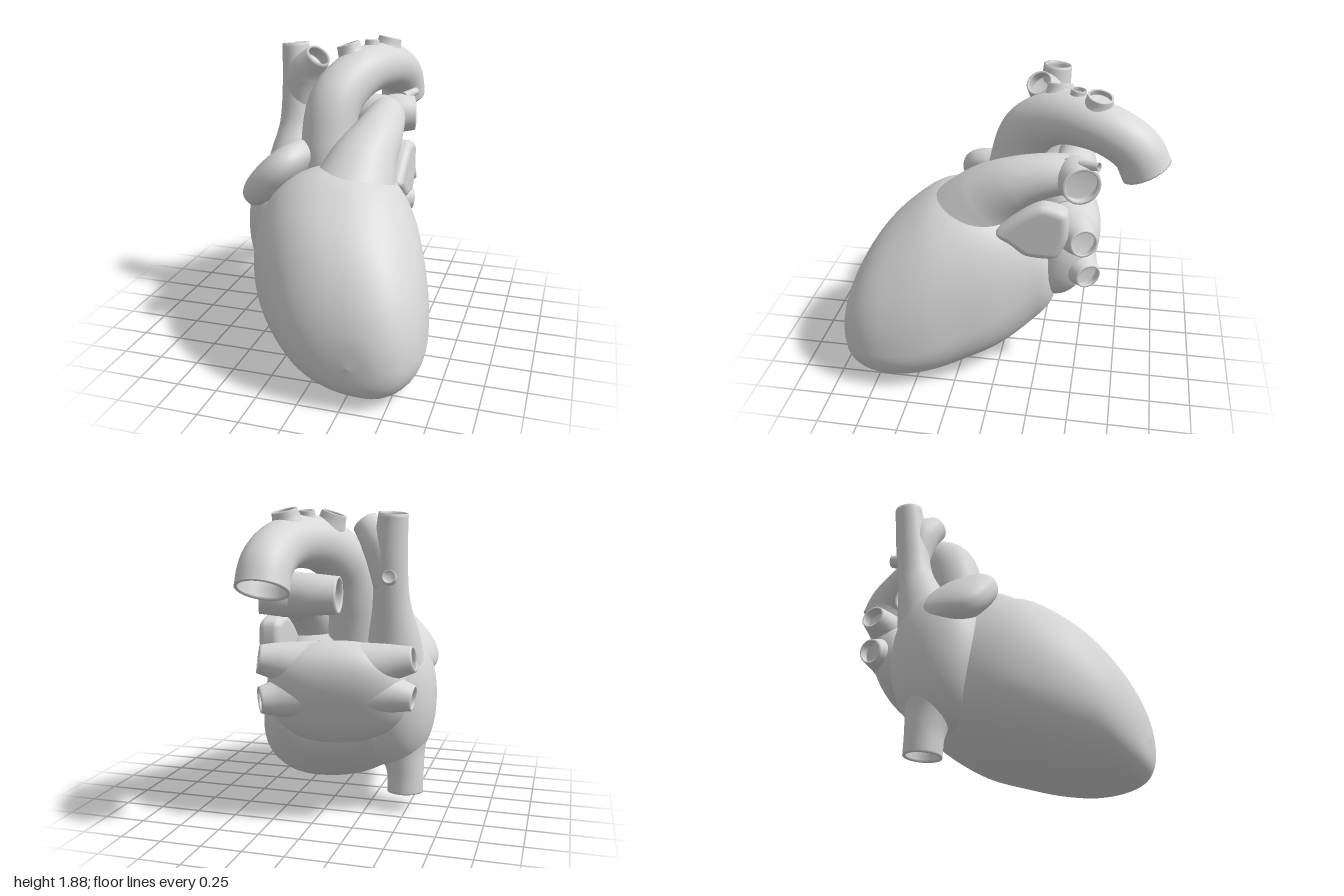
import * as THREE from 'three';
import { mergeVertices } from 'three/addons/utils/BufferGeometryUtils.js';

const V = (p) => new THREE.Vector3(p[0], p[1], p[2]);

// Smooth skin over a list of closed rings
function skin(rings) {
  const m = rings[0].length, pos = [], idx = [];
  rings.forEach((r) => r.forEach((p) => pos.push(p.x, p.y, p.z)));
  for (let i = 0; i < rings.length - 1; i++) {
    for (let j = 0; j < m; j++) {
      const k = (j + 1) % m, a = i * m, b = a + m;
      idx.push(a + j, a + k, b + k, a + j, b + k, b + j);
    }
  }
  const g = new THREE.BufferGeometry();
  g.setAttribute('position', new THREE.Float32BufferAttribute(pos, 3));
  g.setIndex(idx);
  g.computeVertexNormals();
  return g;
}

// Tapering vessel through [x, y, z, radius] points, hollow at its last end
function vessel(points, depth = 0.5, wall = 0.85, seg = 28) {
  const curve = new THREE.CatmullRomCurve3(points.map(V));
  const radii = new THREE.CatmullRomCurve3(points.map((p, i) => new THREE.Vector3(i, p[3], 0)), false, 'catmullrom');
  const n = 12 * (points.length - 1);
  const frames = [];
  let normal = new THREE.Vector3(0.31, 0.22, 0.92);
  for (let i = 0; i <= n; i++) {
    const t = i / n, T = curve.getTangent(t);
    normal = normal.clone().addScaledVector(T, -normal.dot(T)).normalize();
    frames.push({ c: curve.getPoint(t), N: normal, B: new THREE.Vector3().crossVectors(T, normal), r: radii.getPoint(t).y });
  }
  const ring = (f, k) => Array.from({ length: seg }, (_, j) => {
    const a = (j / seg) * Math.PI * 2;
    return f.c.clone().addScaledVector(f.N, Math.cos(a) * f.r * k).addScaledVector(f.B, Math.sin(a) * f.r * k);
  });
  const rings = [ring(frames[0], 0), ...frames.map((f) => ring(f, 1))];
  const stop = Math.round(n * (1 - depth));
  for (let i = n; i >= stop; i--) rings.push(ring(frames[i], wall));
  rings.push(ring(frames[stop], 0));
  return skin(rings);
}

// Ventricles: [z, left x, right x, bottom y, top y, bottom's x, top's x, left's y, right's y]
const slices = [
  [-0.33, -0.33, 0.27, 0.43, 0.93, 0.02, 0.03, 0.66, 0.68],
  [-0.2, -0.46, 0.37, 0.28, 1.05, 0.05, 0.08, 0.65, 0.62],
  [0, -0.52, 0.49, 0.14, 1.14, 0.12, 0.1, 0.62, 0.5],
  [0.2, -0.53, 0.57, 0.075, 1.2, 0.22, 0.08, 0.59, 0.4],
  [0.4, -0.49, 0.635, 0.025, 1.18, 0.31, 0.04, 0.56, 0.32],
  [0.6, -0.39, 0.66, 0, 1.05, 0.36, 0.04, 0.51, 0.27],
  [0.78, -0.25, 0.64, 0.015, 0.87, 0.39, 0.1, 0.45, 0.26],
  [0.91, -0.1, 0.57, 0.055, 0.66, 0.37, 0.19, 0.38, 0.26],
  [0.98, 0.08, 0.46, 0.13, 0.46, 0.33, 0.26, 0.32, 0.27],
];

function ventricleGeometry() {
  const seg = 64, steps = 60, lines = [];
  for (let j = 0; j < seg; j++) {
    const a = (j / seg) * Math.PI * 2, c = Math.cos(a), s = Math.sin(a);
    const cp = Math.abs(c) ** 0.92, sp = Math.abs(s) ** 0.92;
    const pts = slices.map(([z, x0, x1, y0, y1, xb, xt, yl, yr]) => {
      const mx = s > 0 ? xt : xb, my = c > 0 ? yr : yl;
      return new THREE.Vector3(mx + ((c > 0 ? x1 : x0) - mx) * cp, my + ((s > 0 ? y1 : y0) - my) * sp, z);
    });
    pts.unshift(new THREE.Vector3(0.01, 0.68, -0.37));
    pts.push(new THREE.Vector3(0.3, 0.28, 1));
    const line = new THREE.CatmullRomCurve3(pts);
    lines.push(Array.from({ length: steps + 1 }, (_, i) => line.getPoint(i / steps)));
  }
  return skin(Array.from({ length: steps + 1 }, (_, i) => lines.map((l) => l[i])));
}

// Drop uvs and weld so that normals run smoothly over every seam
function weld(g) {
  g.deleteAttribute('uv');
  g.deleteAttribute('normal');
  const welded = mergeVertices(g, 1e-4);
  welded.computeVertexNormals();
  return welded;
}

// Rounded lump: a sphere squared off by an exponent below 1
function lumpGeometry(radii, exponent) {
  const g = new THREE.SphereGeometry(1, 48, 32), p = g.attributes.position;
  const square = (v, r) => Math.sign(v) * Math.abs(v) ** exponent * r;
  for (let i = 0; i < p.count; i++) {
    p.setXYZ(i, square(p.getX(i), radii[0]), square(p.getY(i), radii[1]), square(p.getZ(i), radii[2]));
  }
  return weld(g);
}

// Flat leaf-like flap with rounded edges, outlined in (-z, y)
function flapGeometry(outline, thickness, bevel) {
  const curve = new THREE.CatmullRomCurve3(outline.map(([u, y]) => new THREE.Vector3(u, y, 0)), true, 'catmullrom', 0.35);
  const shape = new THREE.Shape(curve.getPoints(48).slice(0, -1).map((p) => new THREE.Vector2(p.x, p.y)));
  const g = new THREE.ExtrudeGeometry(shape, {
    depth: thickness, bevelEnabled: true, bevelSize: bevel, bevelOffset: -bevel, bevelThickness: bevel, bevelSegments: 6,
  });
  g.rotateY(Math.PI / 2);
  return weld(g);
}

export function createModel() {
  const group = new THREE.Group();
  const tissue = new THREE.MeshStandardMaterial({ color: 0xd8d8d8, side: THREE.DoubleSide });
  tissue.name = 'pale grey tissue';
  const add = (name, geometry) => {
    const mesh = new THREE.Mesh(geometry, tissue);
    mesh.name = name;
    group.add(mesh);
    return mesh;
  };
  const lump = (name, centre, radii, exponent, rotation = [0, 0, 0]) => {
    const mesh = add(name, lumpGeometry(radii, exponent));
    mesh.position.set(...centre);
    mesh.rotation.set(...rotation);
  };

  // Main chambers
  add('ventricles', ventricleGeometry());
  lump('rightAtrium', [-0.4, 0.71, -0.02], [0.26, 0.45, 0.3], 0.95);
  lump('rightAuricle', [-0.42, 1.075, 0.1], [0.275, 0.12, 0.245], 0.84, [0, -0.12, Math.PI / 4]);
  lump('leftAtrium', [-0.12, 0.79, -0.365], [0.42, 0.33, 0.205], 0.85, [-0.4, 0.14, 0]);
  add('leftAuricle', flapGeometry([
    [0, 1.05], [0.14, 1.17], [0.27, 1.24], [0.42, 1.2], [0.43, 1.03], [0.36, 0.89], [0.18, 0.89], [0.08, 0.96], [0.01, 1.0],
  ], 0.05, 0.045)).position.x = 0.265;

  // Pulmonary trunk and its two arteries
  add('pulmonaryTrunk', vessel([
    [0.05, 0.6, 0.48, 0.34], [0.085, 0.93, 0.25, 0.295], [0.12, 1.16, 0.08, 0.22],
    [0.165, 1.3, -0.1, 0.165], [0.17, 1.365, -0.28, 0.135], [0.15, 1.38, -0.44, 0.12],
  ], 0.02, 0.85, 40));
  add('leftPulmonaryArtery', vessel([[0.1, 1.36, -0.4, 0.12], [0.21, 1.38, -0.46, 0.13], [0.32, 1.38, -0.5, 0.115]], 0.26));
  add('rightPulmonaryArtery', vessel([[0.2, 1.37, -0.42, 0.13], [0.03, 1.38, -0.44, 0.125], [-0.15, 1.38, -0.43, 0.11]], 0.4));
  add('arterialLigament', vessel([[0.25, 1.49, -0.48, 0.03], [0.31, 1.51, -0.59, 0.025]], 0.3));

  // Aorta with three branches on the arch
  add('aorta', vessel([
    [-0.12, 0.95, 0, 0.165], [-0.14, 1.28, -0.05, 0.17], [-0.11, 1.52, -0.13, 0.17], [-0.01, 1.66, -0.31, 0.16],
    [0.1, 1.685, -0.52, 0.15], [0.145, 1.64, -0.68, 0.148], [0.16, 1.555, -0.8, 0.15], [0.16, 1.44, -0.86, 0.152],
  ], 0.35, 0.9, 36));
  [
    [[-0.02, 1.66, -0.31], [-0.07, 1.79, -0.32], [-0.09, 1.85, -0.32], 0.075],
    [[0.04, 1.7, -0.43], [0.04, 1.82, -0.435], [0.04, 1.865, -0.44], 0.045],
    [[0.1, 1.7, -0.54], [0.12, 1.81, -0.56], [0.13, 1.865, -0.57], 0.075],
  ].forEach(([from, mid, to, r], i) => {
    add(`archBranch${i + 1}`, vessel([[...from, r * 1.7], [...mid, r * 1.15], [...to, r]], 0.35));
  });

  // Great veins
  add('upperGreatVein', vessel([
    [-0.42, 0.85, -0.08, 0.2], [-0.415, 1.12, -0.15, 0.155], [-0.41, 1.33, -0.21, 0.112],
    [-0.41, 1.6, -0.25, 0.102], [-0.43, 1.85, -0.27, 0.088],
  ], 0.2));
  add('upperVeinBranch', vessel([[-0.4, 1.42, -0.24, 0.09], [-0.35, 1.66, -0.225, 0.115], [-0.24, 1.79, -0.175, 0.083]], 0.3));
  add('smallBackVein', vessel([[-0.41, 1.46, -0.24, 0.05], [-0.43, 1.49, -0.38, 0.04]], 0.2));
  add('lowerGreatVein', vessel([
    [-0.42, 0.62, -0.04, 0.22], [-0.455, 0.4, -0.05, 0.155], [-0.482, 0.25, -0.065, 0.118], [-0.485, 0.11, -0.075, 0.112],
  ], 0.3));

  // Two pulmonary veins on each side, flaring into the left atrium
  [
    ['leftUpperVein', [0.02, 0.93, -0.41, 0.18], [0.2, 0.98, -0.48, 0.12], [0.32, 1.0, -0.53, 0.085]],
    ['leftLowerVein', [0.02, 0.8, -0.41, 0.18], [0.19, 0.77, -0.5, 0.12], [0.3, 0.76, -0.565, 0.08]],
    ['rightUpperVein', [-0.22, 0.94, -0.4, 0.17], [-0.43, 0.99, -0.395, 0.115], [-0.59, 1.02, -0.395, 0.075]],
    ['rightLowerVein', [-0.22, 0.82, -0.39, 0.18], [-0.43, 0.81, -0.395, 0.12], [-0.59, 0.79, -0.4, 0.075]],
  ].forEach(([name, ...path]) => add(name, vessel(path, 0.25)));

  return group;
}
